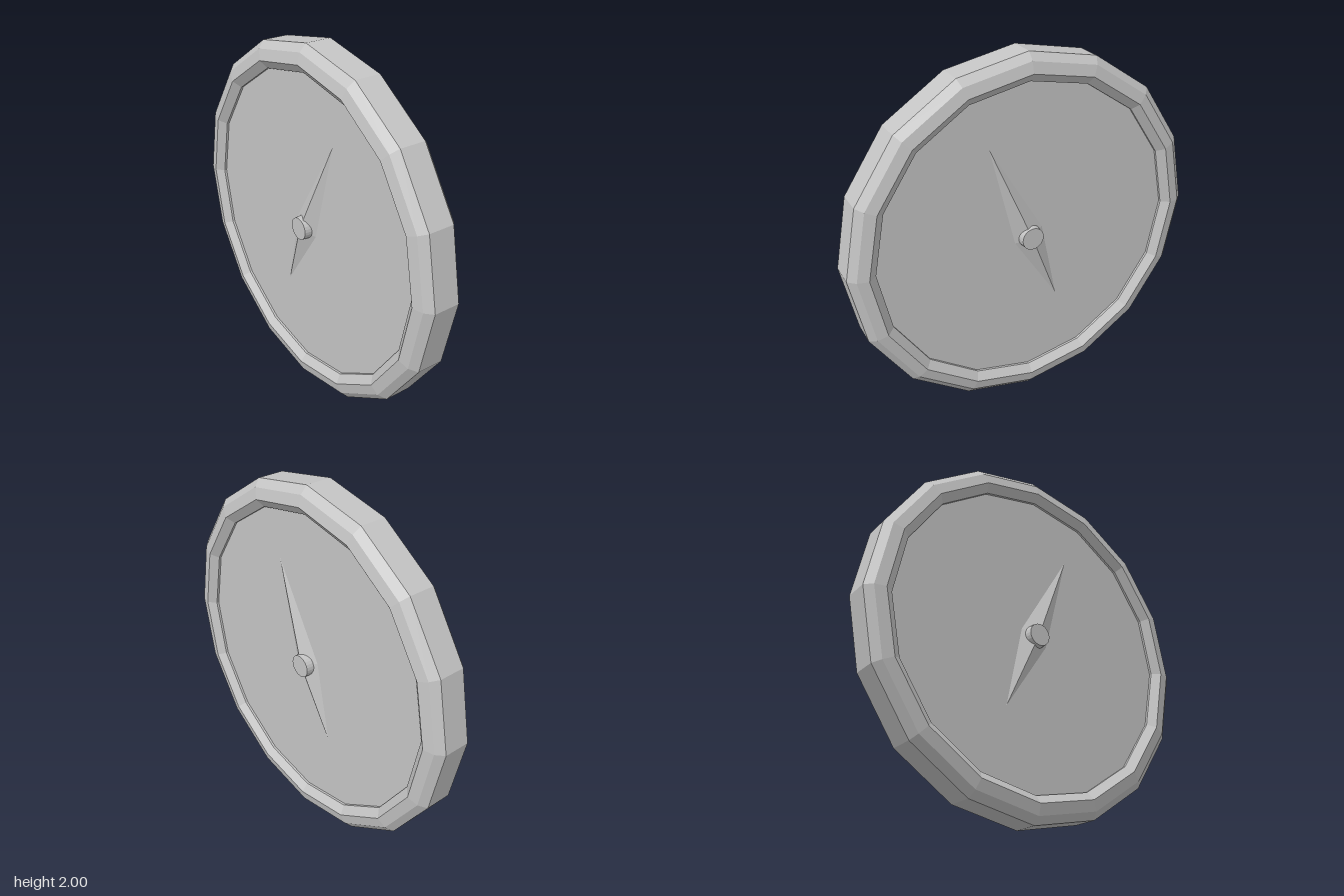
import * as THREE from 'three';

const SIDES = 16;
const FLOOR = 0.075; // height of each dial face from the middle plane

export function createModel() {
  const model = new THREE.Group();
  model.name = 'compass';
  const metal = new THREE.MeshStandardMaterial({ color: 0xc4c4c4, flatShading: true });
  metal.name = 'grey metal';

  const add = (parent, name, geometry) => {
    const mesh = new THREE.Mesh(geometry, metal);
    mesh.name = name;
    parent.add(mesh);
    return mesh;
  };

  const body = new THREE.Group();
  body.name = 'body';
  body.position.y = 1;
  model.add(body);

  // Faceted rim: the front half of its section, mirrored to the back
  const half = [[1, 0.073], [0.96, 0.11], [0.9, 0.124], [0.855, 0.088], [0.855, FLOOR - 0.01]];
  const section = [
    ...half.slice().reverse().map(([r, z]) => new THREE.Vector2(r, -z)),
    ...half.map(([r, z]) => new THREE.Vector2(r, z)),
  ];
  add(body, 'rim', new THREE.LatheGeometry(section, SIDES).rotateX(Math.PI / 2));

  // Dial plate closing the middle
  add(body, 'dial', new THREE.CylinderGeometry(0.86, 0.86, FLOOR * 2, SIDES).rotateX(Math.PI / 2));

  // Ridged needle: a long, off-centre diamond rising to one peak
  const outline = [[0.087, 0], [0, 0.584], [-0.087, 0], [0, -0.455]];
  const corners = [];
  outline.forEach(([x, y], i) => {
    const [nx, ny] = outline[(i + 1) % 4];
    corners.push(x, y, FLOOR, nx, ny, FLOOR, 0, 0, 0.122);
  });
  const needleGeometry = new THREE.BufferGeometry();
  needleGeometry.setAttribute('position', new THREE.Float32BufferAttribute(corners, 3));
  needleGeometry.computeVertexNormals();

  // Hub cap over the needle's peak
  const hubGeometry = new THREE.CylinderGeometry(0.062, 0.066, 0.055, 24)
    .rotateX(Math.PI / 2).translate(0, 0, 0.1025);

  // The same needle and hub on both faces, mirrored through the plate
  for (const side of [1, -1]) {
    const face = new THREE.Group();
    face.name = side > 0 ? 'frontFace' : 'backFace';
    face.rotation.y = side > 0 ? 0 : Math.PI;
    body.add(face);
    add(face, 'needle', needleGeometry).rotation.z = -side * 0.392;
    add(face, 'hub', hubGeometry);
  }
  return model;
}
